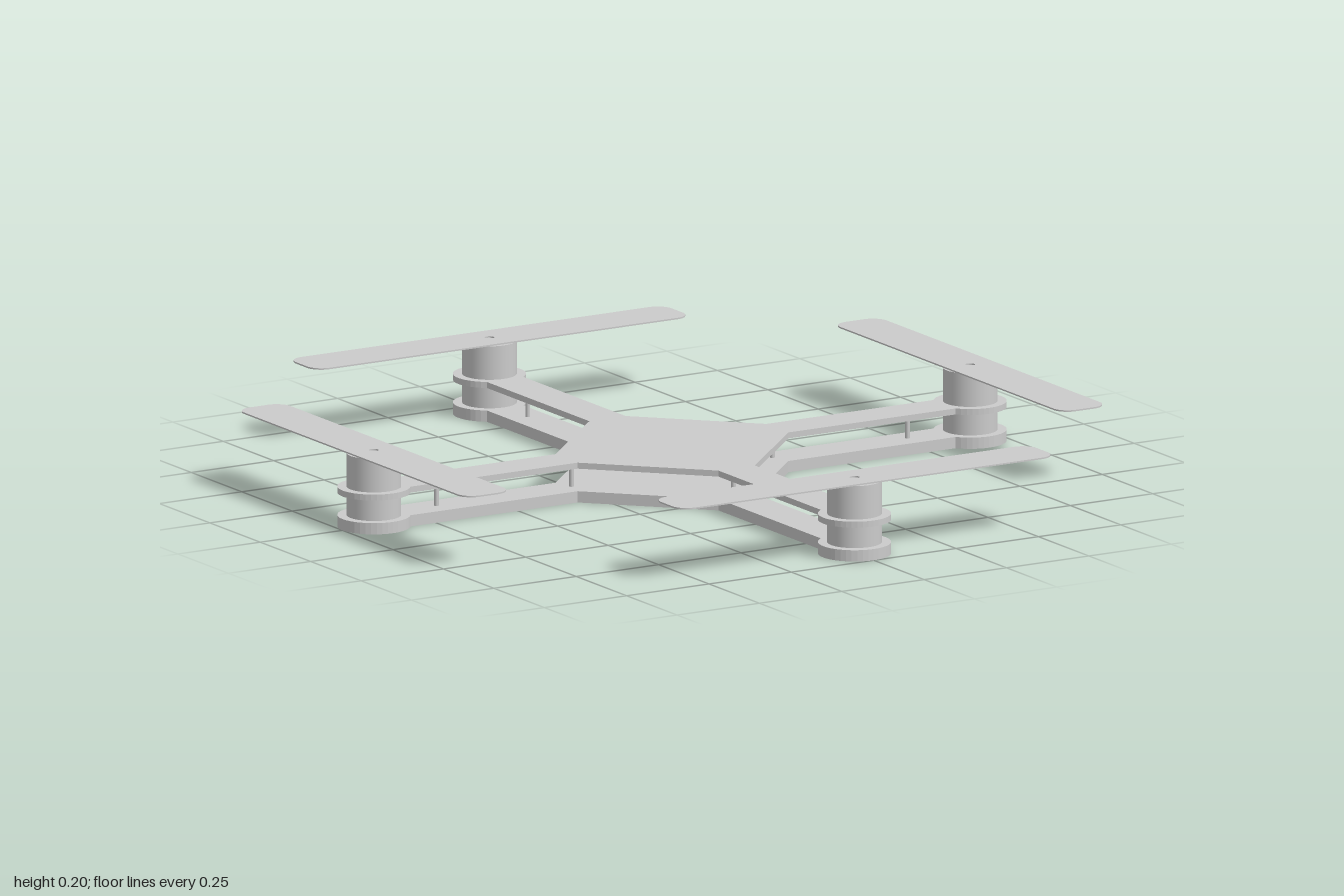
import * as THREE from 'three';

const ARM = 0.055, HUB = 0.32, REACH = 0.905, PAD = 0.095;
const material = new THREE.MeshStandardMaterial({ color: 0xcccccc });

function addMesh(parent, name, geometry, x = 0, y = 0, z = 0) {
  const mesh = new THREE.Mesh(geometry, material);
  mesh.name = name;
  mesh.position.set(x, y, z);
  parent.add(mesh);
  return mesh;
}

// Extrude a flat outline upwards from y = 0
function slab(shape, thickness, curveSegments = 16) {
  const geometry = new THREE.ExtrudeGeometry(shape, { depth: thickness, bevelEnabled: false, curveSegments });
  return geometry.rotateX(-Math.PI / 2);
}

// Cross outline: diamond hub, four straight arms, round motor pads
function frameShape() {
  const points = [];
  const joint = Math.asin(ARM / PAD);
  for (let i = 0; i < 4; i++) {
    const turn = i * Math.PI / 2;
    const add = (x, y) => points.push(new THREE.Vector2(x, y).rotateAround(new THREE.Vector2(), turn));
    add(HUB, -ARM);
    for (let k = 0; k <= 32; k++) {
      const a = -Math.PI + joint + (k / 32) * 2 * (Math.PI - joint);
      add(REACH + PAD * Math.cos(a), PAD * Math.sin(a));
    }
    add(HUB, ARM);
  }
  return new THREE.Shape(points);
}

// Flat rounded blade with a shaft hole
function propellerShape() {
  const w = 0.57, h = 0.07, r = 0.042;
  const s = new THREE.Shape();
  s.moveTo(-w + r, -h);
  s.lineTo(w - r, -h);
  s.absarc(w - r, -h + r, r, -Math.PI / 2, 0);
  s.absarc(w - r, h - r, r, 0, Math.PI / 2);
  s.absarc(-w + r, h - r, r, Math.PI / 2, Math.PI);
  s.absarc(-w + r, -h + r, r, Math.PI, Math.PI * 1.5);
  s.holes.push(new THREE.Path().absarc(0, 0, 0.013, 0, Math.PI * 2, true));
  return s;
}

export function createModel() {
  const model = new THREE.Group();
  model.name = 'quadcopter';

  // Two stacked frame plates
  addMesh(model, 'bottomPlate', slab(frameShape(), 0.03));
  addMesh(model, 'topPlate', slab(frameShape(), 0.016), 0, 0.09, 0);

  const motor = new THREE.CylinderGeometry(0.071, 0.071, 0.167, 40);
  const post = new THREE.CylinderGeometry(0.006, 0.006, 0.062, 12);
  const propeller = slab(propellerShape(), 0.004, 10);

  // Arms point to +x, -z, -x, +z; the front arm's outer post sits further out
  for (let i = 0; i < 4; i++) {
    const arm = new THREE.Group();
    arm.name = 'arm' + (i + 1);
    arm.rotation.y = i * Math.PI / 2;
    addMesh(arm, 'motor', motor, REACH, 0.1115, 0);
    addMesh(arm, 'propeller', propeller, REACH, 0.198, 0).rotation.y = Math.PI / 2;
    addMesh(arm, 'innerPost', post, 0.305, 0.06, 0);
    addMesh(arm, 'outerPost', post, i === 3 ? 0.81 : 0.715, 0.06, 0);
    model.add(arm);
  }
  return model;
}
